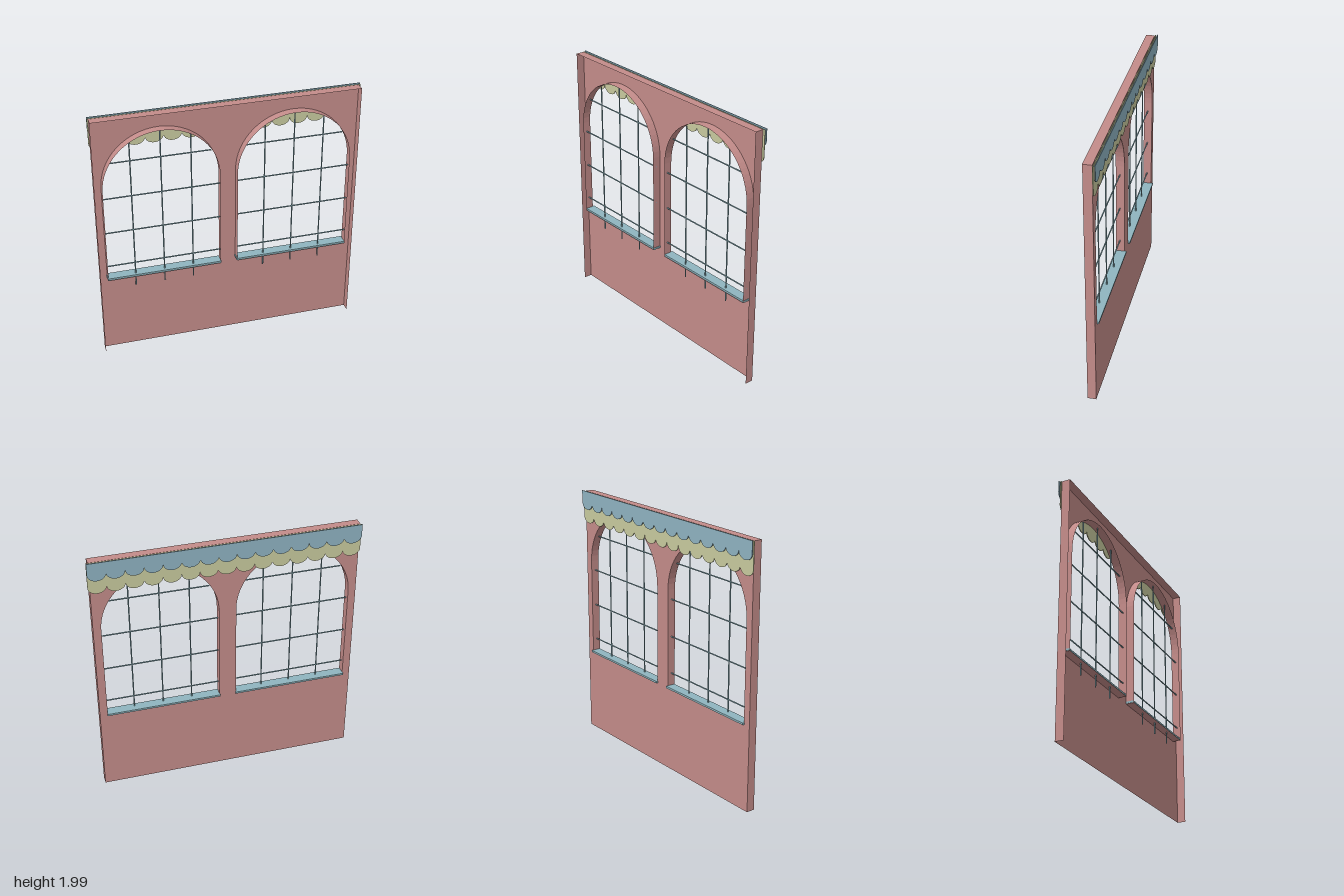
import * as THREE from 'three';

const mat = (color) => new THREE.MeshStandardMaterial({ color, side: THREE.DoubleSide });
const BACK = -0.02, FRONT = 0.045;
const LEFT = -0.992, RIGHT = 0.985, TOP = 1.985;
const R = 0.433, SILL = 0.658, SPRING = 1.427;

// Thin strip that carries an outline from the back sheet to the front edge
function band(points) {
  const pos = [];
  for (let i = 0; i < points.length - 1; i++) {
    const a = points[i], b = points[i + 1];
    pos.push(a.x, a.y, BACK, b.x, b.y, BACK, b.x, b.y, FRONT);
    pos.push(a.x, a.y, BACK, b.x, b.y, FRONT, a.x, a.y, FRONT);
  }
  const g = new THREE.BufferGeometry();
  g.setAttribute('position', new THREE.Float32BufferAttribute(pos, 3));
  g.computeVertexNormals();
  return g;
}

// Closed outline of an arched window opening
function archPoints(cx) {
  const pts = [new THREE.Vector2(cx - R, SILL), new THREE.Vector2(cx + R, SILL)];
  for (let i = 0; i <= 32; i++) {
    const a = (i / 32) * Math.PI;
    pts.push(new THREE.Vector2(cx + R * Math.cos(a), SPRING + R * Math.sin(a)));
  }
  pts.push(pts[0].clone());
  return pts;
}

// Straight-topped strip with a row of rounded tongues below
function scallops(top, cusp, drop) {
  const n = 15, w = 2 / n;
  const s = new THREE.Shape();
  s.moveTo(1, top);
  s.lineTo(-1, top);
  s.lineTo(-1, cusp);
  for (let i = 0; i < n; i++) {
    s.absellipse(-1 + (i + 0.5) * w, cusp, w / 2, drop, Math.PI, Math.PI * 2, false, 0);
  }
  s.lineTo(1, top);
  return new THREE.ExtrudeGeometry(s, { depth: 0.006, bevelEnabled: false, curveSegments: 8 });
}

export function createModel() {
  const root = new THREE.Group();
  const pink = mat(0xc48c8a), teal = mat(0x8fb5bf), blue = mat(0x8fb3c2), green = mat(0xc9cb9f);
  const add = (parent, name, geo, material, x = 0, y = 0, z = 0) => {
    const m = new THREE.Mesh(geo, material);
    m.name = name;
    m.position.set(x, y, z);
    parent.add(m);
    return m;
  };
  const v = (x, y) => new THREE.Vector2(x, y);
  const centres = [-0.502, 0.493];

  // Wall sheet with two arched openings, and its forward-turned rim
  const corners = [v(RIGHT, 0), v(RIGHT, TOP), v(LEFT, TOP), v(LEFT, 0)];
  const sheet = new THREE.Shape(corners);
  centres.forEach((cx) => sheet.holes.push(new THREE.Path(archPoints(cx))));
  add(root, 'wallSheet', new THREE.ShapeGeometry(sheet), pink, 0, 0, BACK);
  add(root, 'wallRim', band(corners), pink);

  // Windows: reveal, sill and glazing bars
  for (const cx of centres) {
    const win = new THREE.Group();
    win.name = 'window';
    root.add(win);
    add(win, 'reveal', band(archPoints(cx)), pink);
    add(win, 'sill', new THREE.BoxGeometry(2 * R + 0.008, 0.015, 0.077), teal, cx, 0.668, 0.0035);
    for (const dx of [-0.222, 0, 0.222]) {
      const top = dx === 0 ? 1.855 : 1.785;
      add(win, 'uprightBar', new THREE.CylinderGeometry(0.005, 0.005, top - 0.567, 8), teal,
        cx + dx, (top + 0.567) / 2, 0.015);
    }
    for (const y of [0.77, 1.06, 1.35, 1.637]) {
      const half = y > 1.5 ? 0.37 : R;
      add(win, 'crossBar', new THREE.CylinderGeometry(0.005, 0.005, half * 2, 8), teal,
        cx, y, 0.015).rotation.z = Math.PI / 2;
    }
  }

  // Two overlapping scalloped valances on the back
  add(root, 'lowerValance', scallops(1.985, 1.79, 0.053), green, 0, 0, -0.029);
  add(root, 'upperValance', scallops(1.99, 1.9, 0.053), blue, 0, 0, -0.044);
  return root;
}
